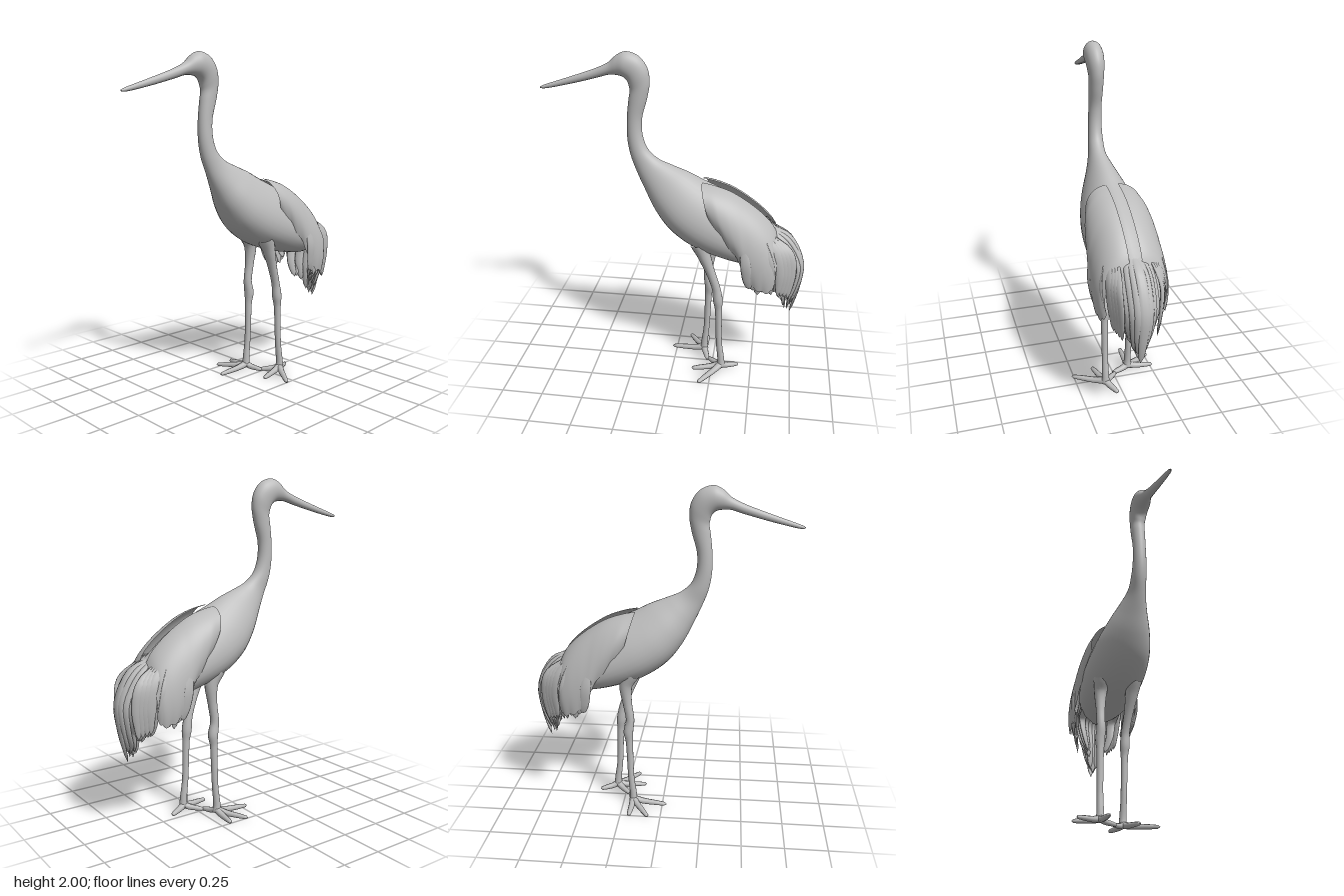
import * as THREE from 'three';

const V = (x, y, z) => new THREE.Vector3(x, y, z);
const plumage = new THREE.MeshStandardMaterial({ color: 0xbcbcbc, side: THREE.DoubleSide });
plumage.name = 'plumage grey';

// Surface from a rule fn(u, v); closed surfaces share their seam vertices
function surface(nu, nv, fn, closed) {
  const pos = [], idx = [], cols = closed ? nv : nv + 1;
  for (let i = 0; i <= nu; i++)
    for (let j = 0; j < cols; j++) pos.push(...fn(i / nu, j / nv).toArray());
  for (let i = 0; i < nu; i++)
    for (let j = 0; j < nv; j++) {
      const k = (j + 1) % cols;
      const a = i * cols + j, b = i * cols + k, c = a + cols, d = b + cols;
      idx.push(a, b, c, b, d, c);
    }
  const g = new THREE.BufferGeometry();
  g.setAttribute('position', new THREE.Float32BufferAttribute(pos, 3));
  g.setIndex(idx);
  g.computeVertexNormals();
  return g;
}

const curve = (pts) => new THREE.CatmullRomCurve3(pts);

// Tube along points with a radius at each point; flat < 1 thins it across the side direction
function tube(pts, radii, side = V(1, 0, 0), flat = 1, nu = 16, nv = 10) {
  const path = curve(pts);
  const rad = new THREE.CatmullRomCurve3(radii.map((r, i) => V(r, i, 0)), false, 'catmullrom', 0.4);
  return surface(nu, nv, (u, v) => {
    const t = path.getTangent(u);
    const s = side.clone().addScaledVector(t, -t.dot(side)).normalize();
    const n = t.clone().cross(s);
    // the last ring closes the tip
    const r = u === 1 ? 0.0005 : Math.max(0.001, rad.getPoint(u).x), a = v * Math.PI * 2;
    return path.getPoint(u).addScaledVector(s, r * Math.cos(a)).addScaledVector(n, r * flat * Math.sin(a));
  }, true);
}

// Outer z, y; inner z, y; half width; sideways shift
const BODY = [
  [0.792, 1.78, 0.791, 1.772, 0.005, -0.03],
  [0.775, 1.789, 0.772, 1.77, 0.011, -0.03],
  [0.62, 1.842, 0.61, 1.804, 0.018, -0.024],
  [0.456, 1.9, 0.45, 1.846, 0.025, -0.018],
  [0.38, 1.937, 0.375, 1.867, 0.033, -0.014],
  [0.33, 1.98, 0.325, 1.866, 0.047, -0.012],
  [0.28, 2.0, 0.295, 1.858, 0.056, -0.01],
  [0.205, 1.975, 0.272, 1.835, 0.055, -0.01],
  [0.157, 1.91, 0.263, 1.805, 0.05, -0.01],
  [0.145, 1.83, 0.26, 1.78, 0.044, -0.01],
  [0.16, 1.74, 0.268, 1.73, 0.042, -0.01],
  [0.192, 1.62, 0.28, 1.62, 0.039, -0.01],
  [0.19, 1.52, 0.28, 1.5, 0.041, -0.008],
  [0.16, 1.44, 0.262, 1.4, 0.045, -0.005],
  [0.1, 1.385, 0.225, 1.3, 0.053, 0],
  [0.02, 1.35, 0.18, 1.2, 0.08, 0],
  [-0.08, 1.31, 0.12, 1.08, 0.122, 0],
  [-0.17, 1.265, 0.03, 0.96, 0.158, 0],
  [-0.29, 1.21, -0.1, 0.865, 0.18, 0],
  [-0.44, 1.12, -0.27, 0.8, 0.182, 0],
  [-0.56, 1.02, -0.42, 0.765, 0.16, 0],
  [-0.65, 0.95, -0.55, 0.75, 0.11, 0],
  [-0.7, 0.87, -0.64, 0.76, 0.03, 0],
];

function bodyGeometry() {
  const outer = curve(BODY.map((s) => V(0, s[1], s[0])));
  const inner = curve(BODY.map((s) => V(0, s[3], s[2])));
  const size = curve(BODY.map((s, i) => V(s[4], s[5], i)));
  return surface(132, 32, (u, v) => {
    const o = outer.getPoint(u), n = inner.getPoint(u), w = size.getPoint(u);
    const a = v * Math.PI * 2;
    const p = o.clone().add(n).multiplyScalar(0.5);
    p.addScaledVector(o.sub(n), 0.5 * Math.cos(a));
    // the trunk is pear-shaped, narrower along the back
    const pear = 0.2 * THREE.MathUtils.smoothstep(u, 0.6, 0.75);
    p.x = w.y + w.x * Math.sin(a) * (1 - pear * Math.cos(a));
    return p;
  }, true);
}

// Folded wing shell: top z, y; bottom z, y; outer x
const WING = [
  [-0.165, 1.265, -0.22, 1.08, 0.168],
  [-0.24, 1.25, -0.31, 0.98, 0.195],
  [-0.33, 1.22, -0.41, 0.84, 0.21],
  [-0.42, 1.17, -0.46, 0.73, 0.217],
  [-0.52, 1.095, -0.53, 0.67, 0.215],
  [-0.59, 1.02, -0.59, 0.66, 0.2],
  [-0.63, 0.94, -0.62, 0.7, 0.175],
];

function wingGeometry(side) {
  const top = curve(WING.map((s) => V(0, s[1], s[0])));
  const low = curve(WING.map((s) => V(0, s[3], s[2])));
  const out = curve(WING.map((s, i) => V(s[4], i, 0)));
  const end = 2.0;
  return surface(40, 24, (u, v) => {
    const a = v * end;
    const k = (1 - Math.cos(a)) / (1 - Math.cos(end));
    const p = top.getPoint(u).lerp(low.getPoint(u), k);
    // scalloped lower rim
    p.y -= 0.018 * Math.abs(Math.sin(u * Math.PI * 7)) * v ** 4;
    p.x = side * (0.035 + (out.getPoint(u).x - 0.035) * Math.sin(a));
    return p;
  }, false);
}

export function createModel() {
  const crane = new THREE.Group();
  crane.name = 'crane';
  const add = (parent, name, geometry) => {
    const m = new THREE.Mesh(geometry, plumage);
    m.name = name;
    parent.add(m);
  };
  const group = (name) => {
    const g = new THREE.Group();
    g.name = name;
    crane.add(g);
    return g;
  };

  add(crane, 'beakHeadNeckAndBody', bodyGeometry());

  // Wings with two rows of hanging feathers
  for (const side of [1, -1]) {
    const wing = group(side > 0 ? 'leftWing' : 'rightWing');
    add(wing, 'wingShell', wingGeometry(side));
    for (let i = 0; i < 6; i++) {
      const f = i / 5, z = -0.455 - 0.13 * f;
      const tip = 0.665 - 0.045 * Math.sin(f * Math.PI) + (i % 2) * 0.015;
      const x = 0.209 - 0.027 * f;
      add(wing, 'wingFeather', tube(
        [V(side * (x - 0.015), 1.0 - 0.04 * f, z + 0.035), V(side * (x + 0.005), 0.84, z + 0.01), V(side * (x - 0.008), 0.73, z - 0.005), V(side * (x - 0.022), tip, z - 0.015)],
        [0.012, 0.032, 0.03, 0.014], V(0, 0, 1), 0.28));
    }
    // inner row, closer to the tail
    for (let i = 0; i < 4; i++) {
      const f = i / 3;
      add(wing, 'innerFeather', tube(
        [V(side * (0.13 - 0.04 * f), 1.0, -0.54), V(side * (0.15 - 0.03 * f), 0.88, -0.625 - 0.06 * f), V(side * (0.145 - 0.03 * f), 0.75, -0.65 - 0.06 * f), V(side * (0.13 - 0.03 * f), 0.6 - 0.03 * f, -0.64 - 0.06 * f)],
        [0.015, 0.035, 0.035, 0.014], V(side * 0.4, 0, 1), 0.35));
    }
  }

  // Drooping tail in three layers, longest at the middle
  const tail = group('tail');
  for (let layer = 0; layer < 3; layer++) {
    const n = 9 - layer;
    for (let i = 0; i < n; i++) {
      const f = (i / (n - 1)) * 2 - 1, d = Math.abs(f), inset = 0.04 * layer;
      const tip = 0.42 + 0.14 * d + 0.02 * (i % 2);
      const back = -0.775 + 0.085 * d * d + inset;
      add(tail, 'tailFeather', tube(
        [V(f * 0.08, 1.0 - inset, -0.56), V(f * 0.1, 0.94 - inset - 0.03 * d, back + 0.085), V(f * 0.1, 0.77, back), V(f * 0.085, 0.6 + 0.06 * d, back + 0.012), V(f * 0.055, tip, back + 0.055 - inset * 0.6)],
        [0.02, 0.03, 0.031, 0.027, 0.015], V(1, 0, f * 0.9), 0.4));
    }
  }

  // Legs: ankle x, z; knee z; hip x, z; toe tips x, z
  const legs = [
    { name: 'leftLeg', x: 0.08, z: -0.31, knee: -0.28, hipX: 0.093, hip: -0.175, toes: [[0.265, -0.18], [0.12, -0.125], [-0.01, -0.22], [0.03, -0.42]] },
    { name: 'rightLeg', x: -0.1, z: -0.185, knee: -0.21, hipX: -0.1, hip: -0.205, toes: [[-0.265, -0.195], [-0.268, -0.075], [-0.115, 0.03], [0.01, -0.22]] },
  ];
  for (const l of legs) {
    const leg = group(l.name);
    const mid = (l.hip + l.knee) / 2;
    add(leg, 'thighAndShank', tube(
      [V(l.hipX, 0.9, l.hip + 0.015), V(l.hipX, 0.82, l.hip - 0.015), V((l.hipX + l.x) / 2, 0.7, mid - 0.005), V(l.x, 0.59, l.knee + 0.012),
        V(l.x, 0.51, l.knee), V(l.x, 0.44, l.knee * 0.8 + l.z * 0.2), V(l.x, 0.2, (l.knee + l.z) / 2), V(l.x, 0.07, l.z), V(l.x, 0.012, l.z)],
      [0.055, 0.04, 0.028, 0.026, 0.03, 0.022, 0.019, 0.022, 0.028], V(1, 0, 0), 1, 40, 14));
    for (const [tx, tz] of l.toes) {
      const at = (k, y) => V(l.x + (tx - l.x) * k, y, l.z + (tz - l.z) * k);
      add(leg, 'toe', tube([at(0, 0.036), at(0.3, 0.024), at(0.7, 0.018), at(1, 0.014)],
        [0.022, 0.018, 0.015, 0.01], V(0, 1, 0), 1.1, 14, 8));
    }
  }
  return crane;
}
